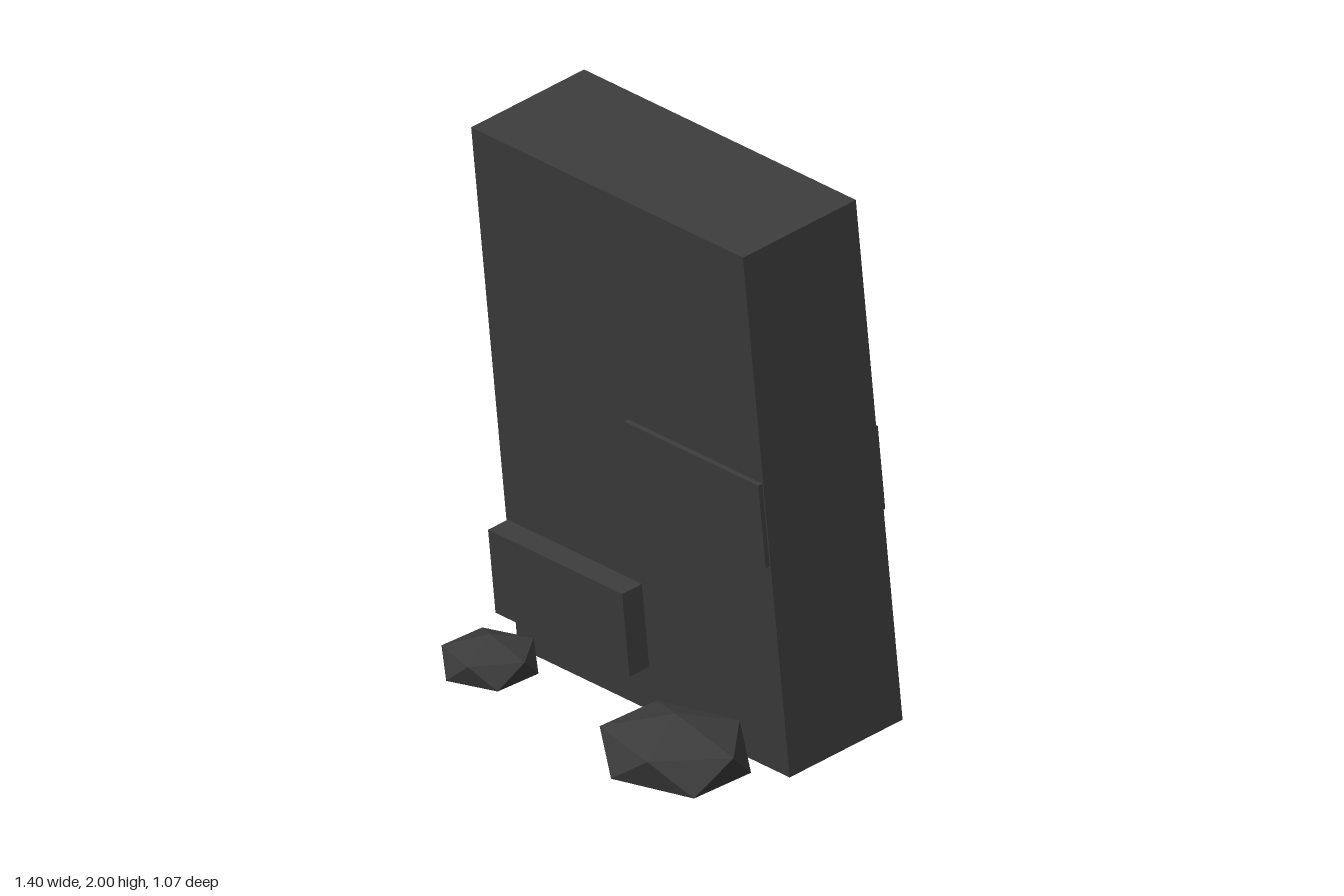
import * as THREE from 'three';

const stone = new THREE.MeshStandardMaterial({ color: 0x3c3c3c });
stone.name = 'dark stone';

const TILT = 0.105;
const W = 1.33, H = 1.955, D = 0.4975;

function box(name, w, h, d, x, y, z) {
  const mesh = new THREE.Mesh(new THREE.BoxGeometry(w, h, d), stone);
  mesh.name = name;
  mesh.position.set(x, y, z);
  return mesh;
}

// Flattened twenty-sided rock, standing on one corner
function rock(name, x, y, z, rx, ry, rz) {
  const g = new THREE.IcosahedronGeometry(1, 0);
  g.rotateZ(Math.atan(2 / (1 + Math.sqrt(5))));
  g.rotateY(-0.56);
  g.scale(rx / 0.894, ry, rz / 0.894);
  g.translate(x, y, z);
  const flat = g.index ? g.toNonIndexed() : g;
  flat.computeVertexNormals();
  const mesh = new THREE.Mesh(flat, stone);
  mesh.name = name;
  return mesh;
}

export function createModel() {
  const model = new THREE.Group();
  model.name = 'leaningSlab';

  // Leaning slab with its raised panels
  const slab = new THREE.Group();
  slab.name = 'slab';
  slab.position.set(-0.035, 1.0025, -0.155);
  slab.rotation.x = TILT;
  slab.add(box('slabBody', W, H, D, 0, 0, 0));

  // Panels: name, side of the slab, centre x, centre y, amount raised
  const panels = [
    ['frontMiddlePanel', 1, 0.332, -0.03, 0.018],
    ['frontLowerPanel', 1, -0.33, -0.6515, 0.087],
    ['backUpperPanel', -1, -0.328, 0.5915, 0.077],
    ['backMiddlePanel', -1, 0.332, -0.035, 0.011],
  ];
  for (const [name, side, x, y, raised] of panels) {
    const depth = raised + 0.04;
    slab.add(box(name, 0.656, 0.312, depth, x, y, side * (D / 2 + raised - depth / 2)));
  }
  model.add(slab);

  // Long bar on the back, turned slightly and partly sunk into the slab
  const bar = new THREE.Group();
  bar.name = 'backBar';
  bar.rotation.set(TILT, 0.19, 0, 'YXZ');
  bar.position.set(0.034, 1.0675, -0.454);
  bar.add(box('bar', 0.066, 1.423, 0.12, 0, 0, 0.06));
  model.add(bar);

  // Rocks at the foot
  model.add(rock('largeRock', 0.43, 0.137, 0.312, 0.268, 0.13, 0.23));
  model.add(rock('smallRock', -0.533, 0.105, 0.262, 0.158, 0.092, 0.162));
  return model;
}
